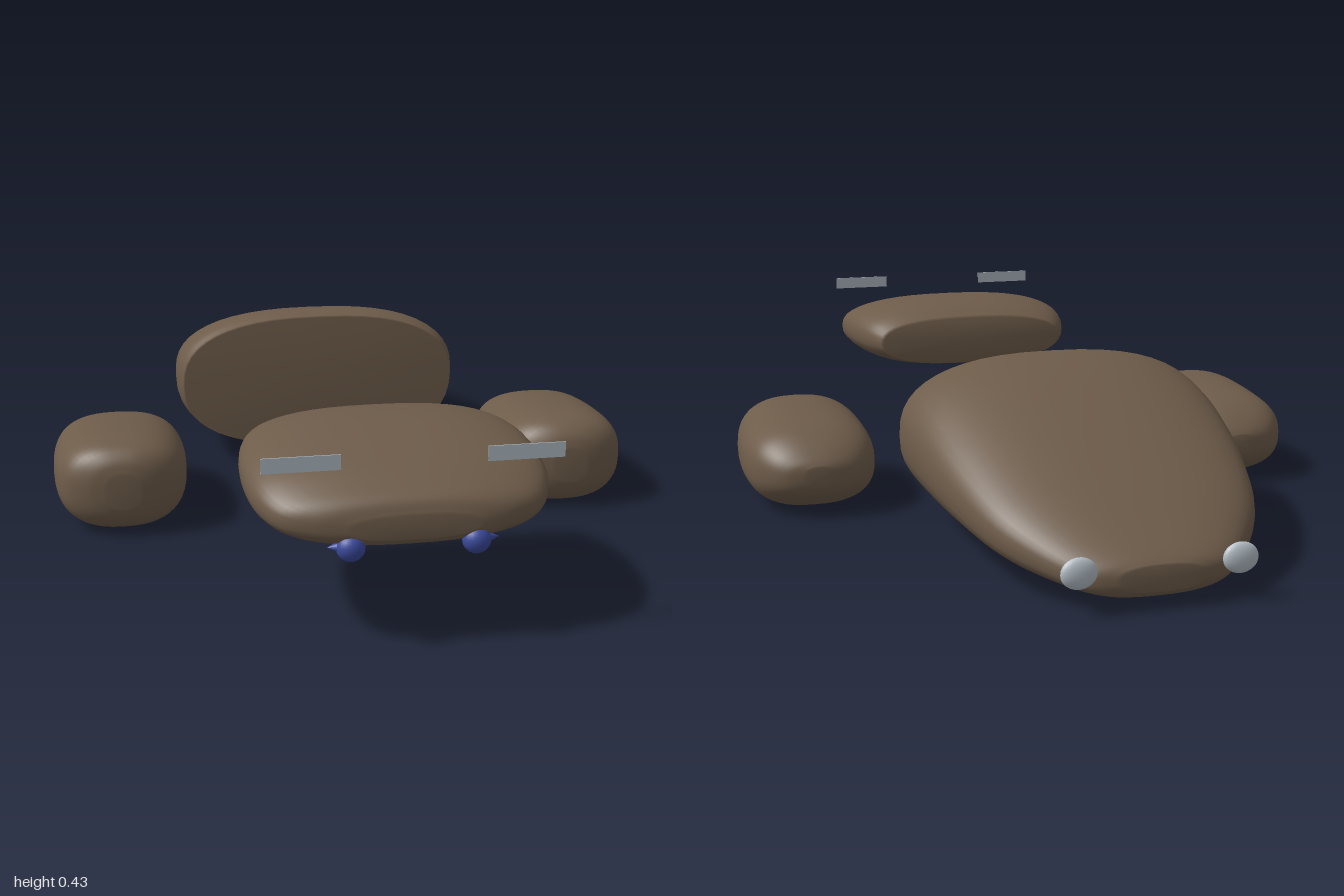
import * as THREE from 'three';

const mat = (name, color, side = THREE.FrontSide) => {
  const m = new THREE.MeshStandardMaterial({ color, side });
  m.name = name;
  return m;
};

// Smooth closed loft; each section is [z, halfWidth, bottomY, topY], front to back
function loft(sections, power, rings = 36, sides = 48) {
  const size = new THREE.CatmullRomCurve3(sections.map(s => new THREE.Vector3(s[1], s[2], s[3])), false, 'catmullrom', 0.5);
  const depth = new THREE.CatmullRomCurve3(sections.map(s => new THREE.Vector3(s[0], 0, 0)), false, 'catmullrom', 0.5);
  const pos = [], index = [];
  const bend = v => Math.sign(v) * Math.pow(Math.abs(v), 2 / power);
  for (let i = 0; i <= rings; i++) {
    const { x: w, y: low, z: high } = size.getPoint(i / rings);
    const z = depth.getPoint(i / rings).x;
    for (let j = 0; j < sides; j++) {
      const a = (j / sides) * Math.PI * 2;
      pos.push(w * bend(Math.cos(a)), (low + high) / 2 + (high - low) / 2 * bend(Math.sin(a)), z);
    }
  }
  for (let i = 0; i < rings; i++) {
    for (let j = 0; j < sides; j++) {
      const k = (j + 1) % sides;
      const a = i * sides + j, b = i * sides + k, c = a + sides, d = b + sides;
      index.push(a, c, b, b, c, d);
    }
  }
  // end caps
  const front = pos.length / 3, back = front + 1, last = rings * sides;
  for (const s of [sections[0], sections[sections.length - 1]]) pos.push(0, (s[2] + s[3]) / 2, s[0]);
  for (let j = 0; j < sides; j++) {
    const k = (j + 1) % sides;
    index.push(front, j, k, back, last + k, last + j);
  }
  const g = new THREE.BufferGeometry();
  g.setAttribute('position', new THREE.Float32BufferAttribute(pos, 3));
  g.setIndex(index);
  g.computeVertexNormals();
  return g;
}

export function createModel() {
  const model = new THREE.Group();
  const brown = mat('brown', 0x6e5c4a);
  const blue = mat('blue', 0x3b4a9c);
  const silver = mat('silver', 0xb4bec6);
  const plateGrey = mat('plateGrey', 0xa9b4bd, THREE.DoubleSide);

  const add = (name, geometry, material, x = 0, y = 0, z = 0) => {
    const mesh = new THREE.Mesh(geometry, material);
    mesh.name = name;
    mesh.position.set(x, y, z);
    model.add(mesh);
    return mesh;
  };

  // Large rear body, tapering to a low tail
  add('rearBody', loft([
    [-0.22, 0.37, 0.04, 0.4],
    [-0.28, 0.385, 0.04, 0.41],
    [-0.42, 0.38, 0.04, 0.38],
    [-0.6, 0.355, 0.04, 0.31],
    [-0.78, 0.305, 0.033, 0.225],
    [-0.9, 0.23, 0.028, 0.16],
    [-0.97, 0.16, 0.028, 0.12],
    [-0.995, 0.09, 0.045, 0.1],
  ], 2.5), brown);

  // Front body, flat behind and rounded ahead
  add('frontBody', loft([
    [0.99, 0.13, 0.25, 0.3],
    [0.975, 0.21, 0.235, 0.33],
    [0.94, 0.275, 0.226, 0.352],
    [0.87, 0.312, 0.222, 0.382],
    [0.77, 0.324, 0.22, 0.403],
    [0.66, 0.32, 0.22, 0.41],
    [0.56, 0.298, 0.226, 0.398],
    [0.49, 0.262, 0.24, 0.37],
  ], 2.5), brown);

  const sidePod = loft([
    [0.298, 0.04, 0.08, 0.165],
    [0.285, 0.09, 0.045, 0.2],
    [0.25, 0.138, 0.016, 0.227],
    [0.18, 0.16, 0.005, 0.235],
    [0.05, 0.166, 0.006, 0.225],
    [-0.06, 0.155, 0.012, 0.212],
    [-0.12, 0.125, 0.035, 0.185],
    [-0.155, 0.085, 0.06, 0.155],
    [-0.17, 0.035, 0.085, 0.135],
  ], 2.5);
  const plate = new THREE.BoxGeometry(0.16, 0.032, 0.003);
  const ball = new THREE.SphereGeometry(1, 20, 14);
  const spike = new THREE.ConeGeometry(0.02, 0.04, 14);

  for (const [side, s] of [['left', 1], ['right', -1]]) {
    add(side + 'SidePod', sidePod, brown, s * 0.56, 0, 0);
    add(side + 'TopPlate', plate, plateGrey, s * 0.23, 0.417, 0.972);
    // front knobs with a short point turned outward
    add(side + 'FrontKnob', ball, blue, s * 0.13, 0.234, 0.975).scale.set(0.03, 0.029, 0.025);
    add(side + 'KnobPoint', spike, blue, s * 0.158, 0.236, 0.97).rotation.z = -s * Math.PI / 2;
    // small oval studs at the tail
    add(side + 'TailStud', ball, silver, s * 0.177, 0.097, -0.984).scale.set(0.04, 0.034, 0.016);
  }
  return model;
}
